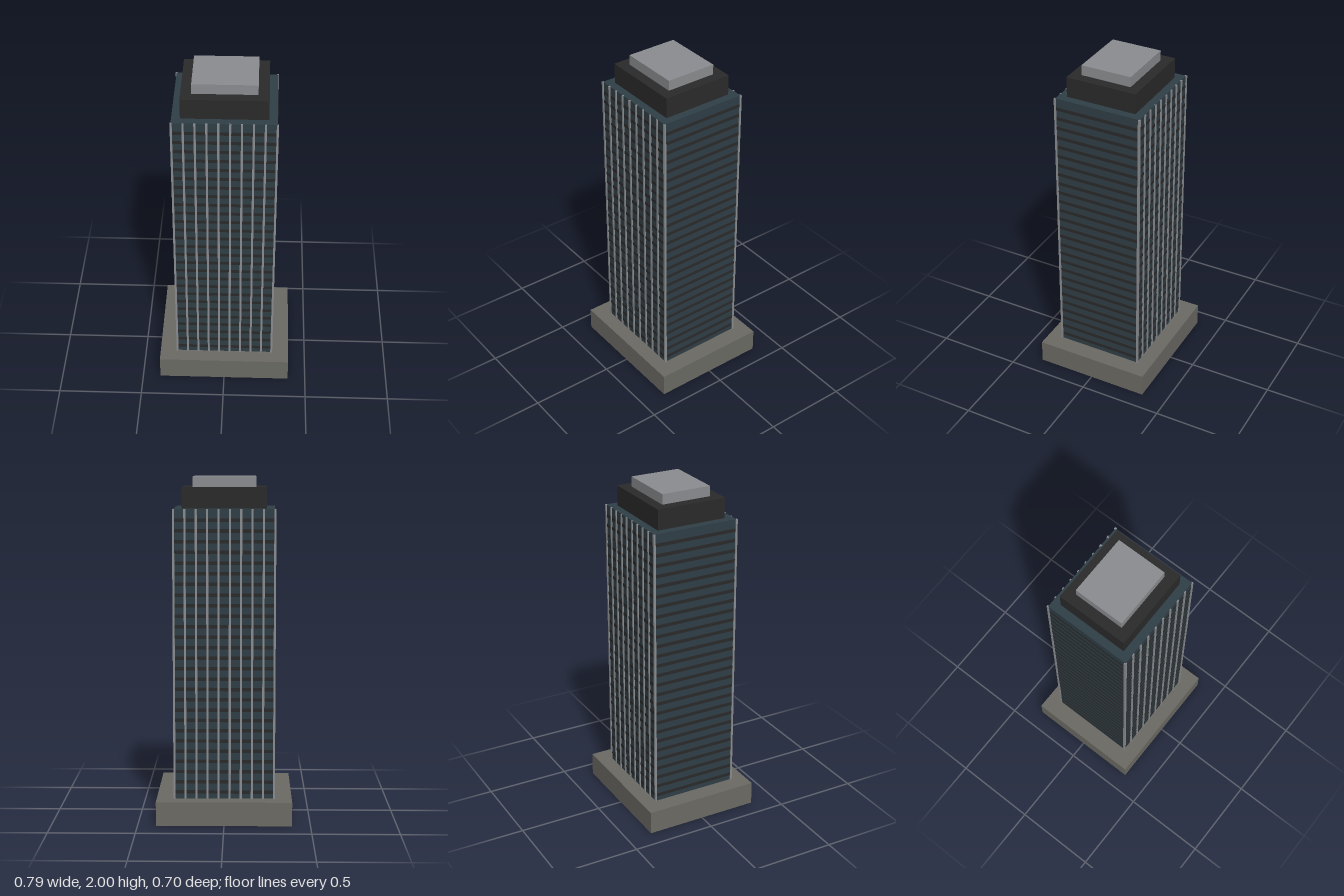
import * as THREE from 'three';

const material = (color) => new THREE.MeshStandardMaterial({ color });

export function createModel() {
  const tower = new THREE.Group();
  tower.name = 'officeTower';

  const stone = material(0x6b6a64);
  const glass = material(0x2f3e46);
  const dark = material(0x2a2a2a);
  const metal = material(0x8a8c8f);

  // Box standing between two heights
  function block(name, width, depth, bottom, top, mat, x = 0, z = 0, parent = tower) {
    const mesh = new THREE.Mesh(new THREE.BoxGeometry(width, top - bottom, depth), mat);
    mesh.position.set(x, (bottom + top) / 2, z);
    mesh.name = name;
    parent.add(mesh);
  }

  const width = 0.58, depth = 0.52, podiumTop = 0.14, roof = 1.82;

  // Stacked volumes
  block('podium', 0.787, 0.697, 0, podiumTop, stone);
  block('glassShaft', width, depth, 0.02, roof, glass);
  block('crown', 0.484, 0.424, roof, 1.94, dark);
  block('roofCap', 0.363, 0.302, 1.94, 2, metal);

  // Dark floor bands wrapped round the shaft
  const bands = new THREE.Group();
  bands.name = 'floorBands';
  tower.add(bands);
  const storey = roof / 30;
  for (let i = 3; i < 30; i++) {
    const y = i * storey - 0.003;
    block('floorBand', width + 0.003, depth + 0.003, y - 0.01, y + 0.01, dark, 0, 0, bands);
  }

  // Vertical fins on the front and back faces
  const fins = new THREE.Group();
  fins.name = 'facadeFins';
  tower.add(fins);
  for (const side of [1, -1]) {
    for (let i = 0; i < 10; i++) {
      const x = (i / 9 - 0.5) * (width - 0.002);
      block('facadeFin', 0.012, 0.012, 0.02, roof, metal, x, side * depth / 2, fins);
    }
  }

  return tower;
}
